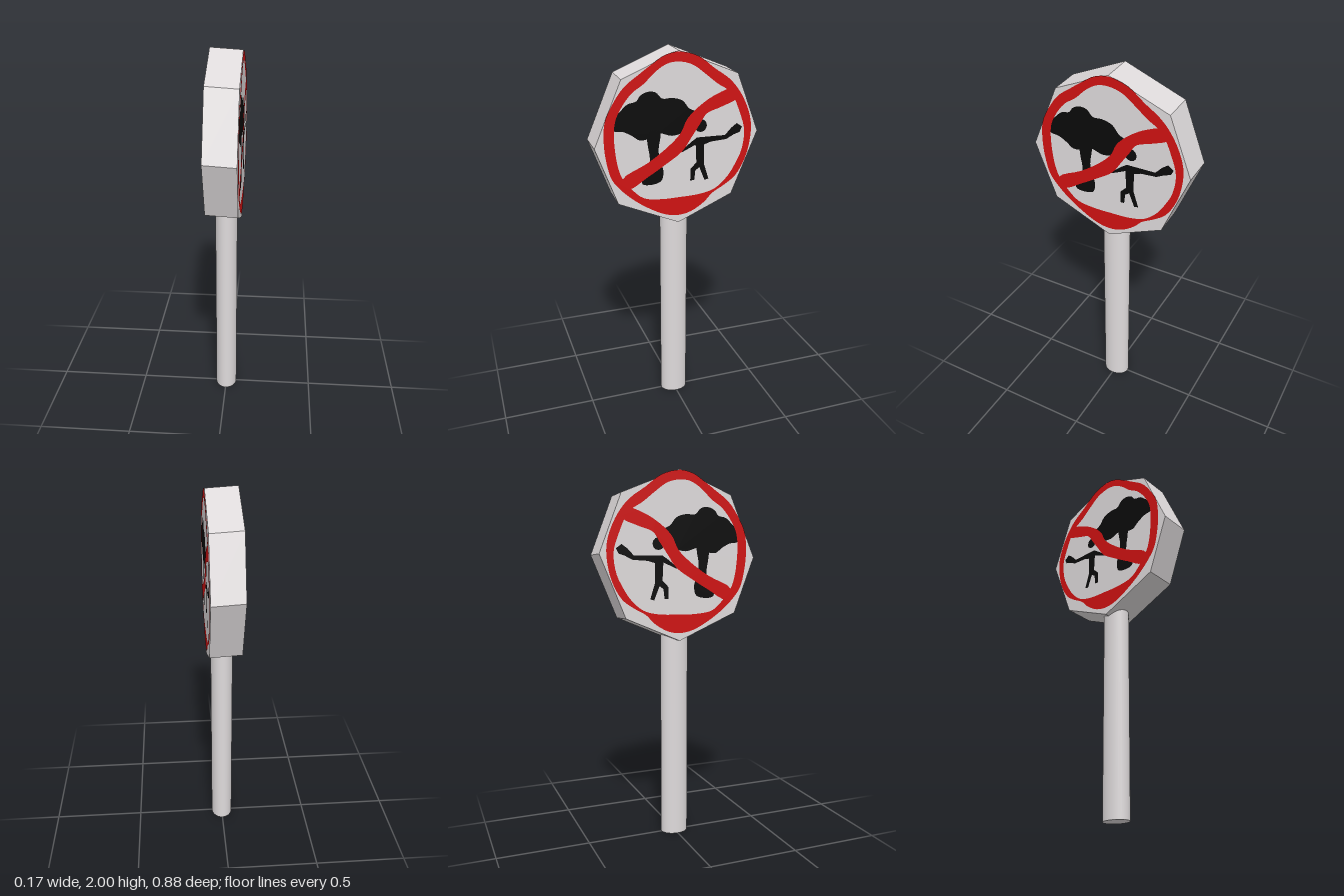
import * as THREE from 'three';

const HALF = 0.083;   // half thickness of the panel
const LEAN = 0.005;   // the panel dips slightly toward +x

const mat = (name, color) => {
  const m = new THREE.MeshStandardMaterial({ color });
  m.name = name;
  return m;
};

// Outlines are flat lists of (u, y) in hundredths; u runs toward -z
const toPoints = (list, side, smooth) => {
  const pts = [];
  for (let i = 0; i < list.length; i += 2) {
    pts.push(new THREE.Vector2(side * list[i] / 100, list[i + 1] / 100 + (side < 0 ? 2 * LEAN : 0)));
  }
  if (!smooth) return pts;
  const loop = new THREE.CatmullRomCurve3(pts.map(p => new THREE.Vector3(p.x, p.y, 0)), true);
  return loop.getPoints(pts.length * 4).slice(0, -1).map(p => new THREE.Vector2(p.x, p.y));
};

const ringOuter = [
  0, 198.5, 10, 196, 19, 189.5, 27, 184, 32.5, 178, 37.5, 169, 40, 160, 39.5, 150, 37, 141, 32, 132.5,
  26, 128, 19, 124, 14.5, 119.5, 7, 115, 0, 113.7, -7.5, 115, -16.5, 119.5, -24.5, 125, -31, 131,
  -35.5, 137, -38, 146, -39, 156.5, -38, 167, -34, 175, -28, 183, -20.5, 188.5, -14, 193, -7.5, 197];
const ringInner = [
  0, 193.7, 7, 192, 13.5, 187.5, 20.5, 182, 28, 177, 33.5, 166, 36.3, 156.5, 35, 146, 32, 139.5, 27.5, 132.5,
  20.5, 126.5, 12.5, 124.3, 1, 123.7, -10, 123.7, -19, 125.3, -25.5, 131, -31, 139, -33.7, 155.5,
  -33, 166, -30, 172.5, -24.5, 179.5, -18, 184, -12, 189.5, -6, 193];
const slash = [
  29.5, 179, 20.5, 176.7, 11.5, 171.5, 4.5, 165, 1, 158, -6, 151.3, -16.5, 144, -30, 136.5,
  -27, 131, -16.5, 136.5, -7.5, 142, 2, 148.5, 7, 155.5, 11.5, 162, 15, 167, 23, 170, 31.5, 174];
const canopy = [
  -33.5, 168, -30, 171.5, -26.5, 174.5, -22, 175.7, -20, 178.3, -16, 180, -12, 179.4, -8.7, 176.2,
  -3.5, 176.2, 2, 174.5, 5.5, 170.4, 9.5, 168, 7, 163, 3, 158.7, -3.5, 157, -10, 158.7,
  -14, 157, -20.5, 156, -24.5, 158.7, -29, 161, -34, 162];
const trunk = [
  -16.5, 160, -10, 160, -10.8, 150, -9.8, 144, -8.2, 138.5, -9.8, 133.3, -19.3, 132.7,
  -19.8, 136.5, -16, 140.7, -15.5, 147, -16.5, 153.5];
const figure = [
  0.5, 148, 7, 153, 10, 155, 16.7, 155, 25.5, 155, 29, 158.7, 32, 160.8, 35, 158.7, 33.7, 156, 30.5, 155,
  26.2, 152.8, 17.8, 152.2, 14, 151, 14, 140.7, 16.7, 132.2, 14.5, 131.7, 11.5, 139, 9.3, 137.5,
  8.7, 132.2, 6.5, 132.2, 6.5, 138.5, 9.8, 141.7, 9.3, 151.3, 2, 148];
const head = [];
for (let i = 0; i < 12; i++) {
  const a = i * Math.PI / 6;
  head.push(12 + 3.3 * Math.cos(a), 161 + 3.3 * Math.sin(a));
}

export function createModel() {
  const group = new THREE.Group();
  group.name = 'roadSign';
  const white = mat('offWhite', 0xdedadb);
  const red = mat('signRed', 0xcf1212);
  const black = mat('pictogramBlack', 0x0a0a0a);

  const add = (name, geometry, material, parent = group) => {
    const mesh = new THREE.Mesh(geometry, material);
    mesh.name = name;
    parent.add(mesh);
  };

  // Oval post, running up into the panel
  const post = new THREE.CylinderGeometry(1, 1, 1.2, 32);
  post.scale(0.06, 1, 0.076);
  post.translate(0, 0.6, 0);
  add('post', post, white);

  // Thick, slightly uneven octagonal panel
  const octagon = new THREE.Shape([
    [0, 1.995], [-0.294, 1.871], [-0.438, 1.54], [-0.325, 1.24],
    [0, 1.10], [0.30, 1.23], [0.438, 1.565], [0.318, 1.87],
  ].map(([u, y]) => new THREE.Vector2(u, y)));
  const panel = new THREE.ExtrudeGeometry(octagon, { depth: 2 * HALF, bevelEnabled: false });
  panel.translate(0, 0, -HALF);
  panel.rotateY(Math.PI / 2);
  const pos = panel.attributes.position;
  for (let i = 0; i < pos.count; i++) pos.setY(i, pos.getY(i) - LEAN * Math.sign(pos.getX(i)));
  panel.computeVertexNormals();
  add('panel', panel, white);

  // Painted artwork, mirrored on both faces
  for (const side of [1, -1]) {
    const face = new THREE.Group();
    face.name = side > 0 ? 'leftFaceArt' : 'rightFaceArt';
    group.add(face);

    const paint = (name, outline, material, lift, smooth, hole) => {
      const shape = new THREE.Shape(toPoints(outline, side, smooth));
      if (hole) shape.holes.push(new THREE.Path(toPoints(hole, side, smooth)));
      const geometry = new THREE.ShapeGeometry(shape);
      geometry.translate(0, 0, HALF + lift);
      geometry.rotateY(side * Math.PI / 2);
      add(name, geometry, material, face);
    };

    paint('treeCanopy', canopy, black, 0.001, true);
    paint('treeTrunk', trunk, black, 0.001, true);
    paint('figureBody', figure, black, 0.001, false);
    paint('figureHead', head, black, 0.001, false);
    paint('redRing', ringOuter, red, 0.002, true, ringInner);
    paint('redSlash', slash, red, 0.002, true);
  }
  return group;
}
